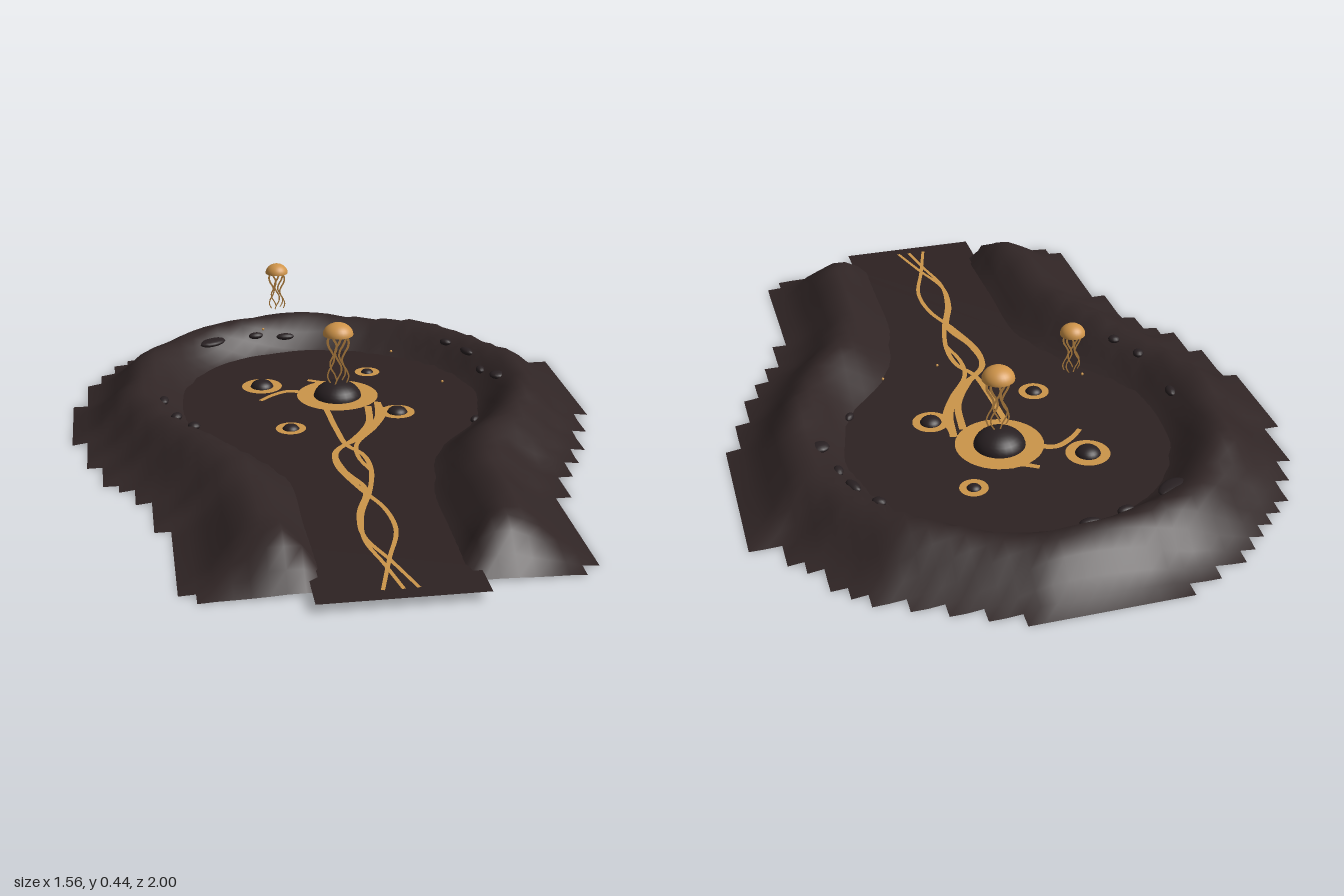
import * as THREE from 'three';

const FLOOR = 0.025;
const mat = (name, color, side = THREE.DoubleSide) => {
  const m = new THREE.MeshStandardMaterial({ color, side });
  m.name = name;
  return m;
};
const V = (x, z) => new THREE.Vector2(x, z);
const toPoints = list => list.map(([x, z]) => V(x, z));

// Outer rim of the land, clockwise from the back left
const RIM = toPoints([
  [-0.26, -1], [-0.27, -0.965], [-0.39, -0.93], [-0.44, -0.89], [-0.52, -0.84], [-0.57, -0.77], [-0.65, -0.68],
  [-0.7, -0.59], [-0.74, -0.51], [-0.74, -0.36], [-0.785, -0.34], [-0.785, -0.05], [-0.74, -0.04], [-0.74, 0.08],
  [-0.7, 0.09], [-0.7, 0.21], [-0.655, 0.23], [-0.61, 0.34], [-0.57, 0.4], [-0.57, 0.51], [-0.52, 0.53],
  [-0.52, 0.87], [-0.48, 0.88], [-0.48, 0.92], [0.47, 0.92], [0.47, 0.88], [0.515, 0.87], [0.515, 0.48],
  [0.56, 0.46], [0.56, 0.35], [0.6, 0.34], [0.645, 0.22], [0.69, 0.2], [0.69, 0.09], [0.735, 0.07],
  [0.735, -0.04], [0.775, -0.06], [0.775, -0.52], [0.69, -0.54], [0.69, -0.6], [0.6, -0.7], [0.56, -0.76],
  [0.515, -0.82], [0.43, -0.85], [0.34, -0.89], [0.255, -0.935], [0.17, -0.97], [0.17, -1],
]);
// Edge of the basin and its outlet channel
const BASIN = [V(-0.2, 1), ...new THREE.SplineCurve(toPoints([
  [-0.2, 0.9], [-0.195, 0.6], [-0.2, 0.33], [-0.29, 0.13], [-0.42, -0.05], [-0.46, -0.2], [-0.43, -0.42],
  [-0.3, -0.61], [-0.07, -0.7], [0.16, -0.66], [0.38, -0.5], [0.465, -0.27], [0.42, -0.03], [0.27, 0.17],
  [0.2, 0.4], [0.19, 0.65], [0.2, 0.9],
])).getPoints(70), V(0.2, 1)];

function distance(poly, x, z) {
  let best = Infinity;
  poly.forEach((a, i) => {
    const b = poly[(i + 1) % poly.length], dx = b.x - a.x, dz = b.y - a.y;
    const t = THREE.MathUtils.clamp(((x - a.x) * dx + (z - a.y) * dz) / (dx * dx + dz * dz), 0, 1);
    best = Math.min(best, Math.hypot(x - a.x - t * dx, z - a.y - t * dz));
  });
  return best;
}
function inside(poly, x, z) {
  let hit = false;
  poly.forEach((a, i) => {
    const b = poly[(i + 1) % poly.length];
    if ((a.y > z) !== (b.y > z) && x < a.x + (b.x - a.x) * (z - a.y) / (b.y - a.y)) hit = !hit;
  });
  return hit;
}

// Ridge section from basin edge (0) to outer rim (1)
const RIDGE = [[0, 0.025], [0.12, 0.062], [0.28, 0.108], [0.42, 0.117], [0.55, 0.092], [0.74, 0.035], [0.9, 0.008], [1, 0]];
function landHeight(x, z) {
  if (!inside(RIM, x, z)) return 0;
  const dIn = distance(BASIN, x, z), dOut = distance(RIM, x, z);
  if (inside(BASIN, x, z)) return Math.max(0.004, Math.min(FLOOR - 0.4 * dIn, dOut * 0.8));
  const t = dIn / (dIn + dOut);
  const i = Math.max(1, RIDGE.findIndex(p => p[0] >= t));
  const [t0, y0] = RIDGE[i - 1], [t1, y1] = RIDGE[i];
  const y = THREE.MathUtils.lerp(y0, y1, (t - t0) / (t1 - t0));
  const bump = 1 + 0.06 * Math.sin(x * 13 + z * 5) + 0.05 * Math.sin(z * 17 - x * 7);
  return Math.min(y * bump, dOut);
}

// Stepped-edge height grid, open under the basin
function landGeometry() {
  const nx = 36, nz = 45, x0 = -0.785, z0 = -1, sx = 1.56 / nx, sz = 1.9125 / nz, pos = [], index = [];
  for (let j = 0; j <= nz; j++) for (let i = 0; i <= nx; i++) {
    const x = x0 + i * sx, z = z0 + j * sz;
    pos.push(x, landHeight(x, z), z);
  }
  for (let j = 0; j < nz; j++) for (let i = 0; i < nx; i++) {
    const x = x0 + (i + 0.5) * sx, z = z0 + (j + 0.5) * sz;
    if (!inside(RIM, x, z) || (inside(BASIN, x, z) && distance(BASIN, x, z) > 0.06)) continue;
    const a = j * (nx + 1) + i, c = a + nx + 1;
    index.push(a, c, a + 1, a + 1, c, c + 1);
  }
  return meshData(pos, index);
}
function meshData(pos, index) {
  const g = new THREE.BufferGeometry();
  g.setAttribute('position', new THREE.Float32BufferAttribute(pos, 3));
  g.setIndex(index);
  g.computeVertexNormals();
  return g;
}

// Flat tapering band along a curve, facing the given normal
function ribbon(points, w0, w1, normal) {
  const curve = new THREE.CatmullRomCurve3(points), n = points.length * 6, pos = [], index = [];
  for (let i = 0; i <= n; i++) {
    const p = curve.getPoint(i / n);
    const side = normal.clone().cross(curve.getTangent(i / n)).normalize().multiplyScalar(THREE.MathUtils.lerp(w0, w1, i / n) / 2);
    pos.push(...p.clone().add(side), ...p.clone().sub(side));
    if (i < n) index.push(2 * i, 2 * i + 1, 2 * i + 2, 2 * i + 1, 2 * i + 3, 2 * i + 2);
  }
  return meshData(pos, index);
}

export function createModel() {
  const root = new THREE.Group();
  const land = mat('dark earth', 0x302525), bed = mat('basin bed', 0x2d2222), stone = mat('stone', 0x282022);
  const amber = mat('amber', 0xcc954a), bellMat = mat('bell amber', 0xcf9449), strandMat = mat('strand amber', 0xb07f3f);
  const add = (name, geo, m, x = 0, y = 0, z = 0, parent = root) => {
    const mesh = new THREE.Mesh(geo, m);
    mesh.name = name;
    mesh.position.set(x, y, z);
    parent.add(mesh);
    return mesh;
  };
  const UP = new THREE.Vector3(0, 1, 0), FRONT = new THREE.Vector3(0, 0, 1);

  add('land', landGeometry(), land);

  // Basin floor, tucked slightly under the banks
  const shape = new THREE.Shape(BASIN.map(p => V(p.x * 1.06, p.y > 0.99 ? -1 : -p.y * 1.02)));
  add('basinFloor', new THREE.ShapeGeometry(shape).rotateX(-Math.PI / 2), bed, 0, FLOOR, 0);

  // Vents: stone dome inside a flat ring [x, z, outer, inner, dome height]
  for (const [x, z, outer, inner, h] of [
    [0.03, -0.27, 0.126, 0.074, 0.05], [-0.195, -0.38, 0.063, 0.036, 0.025], [0.155, -0.455, 0.04, 0.02, 0.014],
    [-0.145, -0.03, 0.045, 0.025, 0.017], [0.19, -0.11, 0.053, 0.031, 0.021],
  ]) {
    const vent = new THREE.Group();
    vent.name = 'vent';
    vent.position.set(x, FLOOR, z);
    add('ventRing', new THREE.RingGeometry(inner, outer, 40).rotateX(-Math.PI / 2), amber, 0, 0.004, 0, vent);
    add('ventDome', new THREE.SphereGeometry(1, 24, 8, 0, Math.PI * 2, 0, Math.PI / 2).scale(inner, h, inner), stone, 0, 0, 0, vent);
    root.add(vent);
  }

  // Bands lying on the floor [start width, end width, path]
  [
    [0.018, 0.01, [[-0.02, -0.17], [-0.012, 0], [0, 0.11], [0.035, 0.18], [0.042, 0.28], [0.015, 0.42], [-0.03, 0.56], [-0.046, 0.7], [-0.02, 0.83], [0.005, 0.96]]],
    [0.022, 0.01, [[0.145, -0.2], [0.125, -0.08], [0.06, 0.05], [-0.03, 0.14], [-0.048, 0.24], [-0.01, 0.4], [0.035, 0.53], [0.042, 0.66], [0, 0.8], [-0.046, 0.96]]],
    [0.022, 0.01, [[0.11, -0.17], [0.09, -0.04], [0.03, 0.07], [-0.04, 0.16], [-0.035, 0.28], [0.005, 0.41], [-0.035, 0.55], [-0.045, 0.68], [0, 0.82], [0.042, 0.96]]],
    [0.016, 0.012, [[0.145, -0.18], [0.145, -0.1], [0.1, 0], [0.03, 0.11], [0.02, 0.2], [0.04, 0.3]]],
    [0.024, 0.014, [[-0.07, -0.31], [-0.12, -0.325], [-0.17, -0.3], [-0.212, -0.26]]],
    [0.024, 0.016, [[0.03, -0.385], [0, -0.385], [-0.045, -0.41]]],
  ].forEach(([w0, w1, path], i) => {
    const pts = path.map(([x, z]) => new THREE.Vector3(x, FLOOR + 0.002 + i * 0.0004, z));
    add('floorStrand', ribbon(pts, w0, w1, UP), amber);
  });

  // Floating bells with wavy hanging strands
  for (const [x, y, z, r, h, drop] of [[0.03, 0.235, -0.255, 0.047, 0.037, 0.157], [-0.145, 0.408, -0.36, 0.034, 0.029, 0.113]]) {
    const floater = new THREE.Group();
    floater.name = 'floater';
    floater.position.set(x, y, z);
    add('bell', new THREE.SphereGeometry(1, 28, 10, 0, Math.PI * 2, 0, Math.PI / 2).scale(r, h, r), bellMat, 0, 0, 0, floater);
    add('bellUnderside', new THREE.CircleGeometry(r, 28).rotateX(Math.PI / 2), bellMat, 0, 0, 0, floater);
    for (let k = 0; k < 5; k++) {
      const a = k / 5 * Math.PI * 2 + 0.4, pts = [];
      for (let i = 0; i <= 8; i++) {
        const t = i / 8;
        pts.push(new THREE.Vector3(Math.cos(a) * r * 0.5 + r * 0.22 * Math.sin(t * 9 + k * 1.7), -t * drop, Math.sin(a) * r * 0.4));
      }
      add('hangingStrand', ribbon(pts, r * 0.17, r * 0.09, FRONT), strandMat, 0, 0, 0, floater);
    }
    root.add(floater);
  }

  // Drifting sparks
  for (const [x, y, z] of [[-0.195, 0.245, -0.31], [0.17, 0.222, -0.12], [0.31, 0.15, -0.035]])
    add('spark', new THREE.SphereGeometry(0.004, 8, 6), amber, x, y, z);

  // Flat stones along the bank [x, z, half length, half width, turn]
  for (const [x, z, a, b, turn] of [
    [-0.33, -0.665, 0.05, 0.03, 0.6], [-0.18, -0.72, 0.025, 0.015, 0.2], [-0.08, -0.73, 0.03, 0.015, 0], [0.53, -0.23, 0.025, 0.025, 0],
    [0.43, -0.53, 0.02, 0.015, -0.7], [0.48, -0.44, 0.03, 0.015, -1.2], [0.5, -0.33, 0.022, 0.014, 1.5], [0.41, -0.02, 0.02, 0.012, 1],
    [-0.51, -0.2, 0.025, 0.015, 1.5], [-0.48, -0.01, 0.02, 0.016, 1.2], [-0.435, 0.08, 0.018, 0.018, 0],
  ]) {
    const y = Math.max(FLOOR, landHeight(x, z));
    add('stone', new THREE.SphereGeometry(1, 14, 8).scale(a, 0.011, b), stone, x, y + 0.003, z).rotation.y = turn;
  }
  return root;
}
